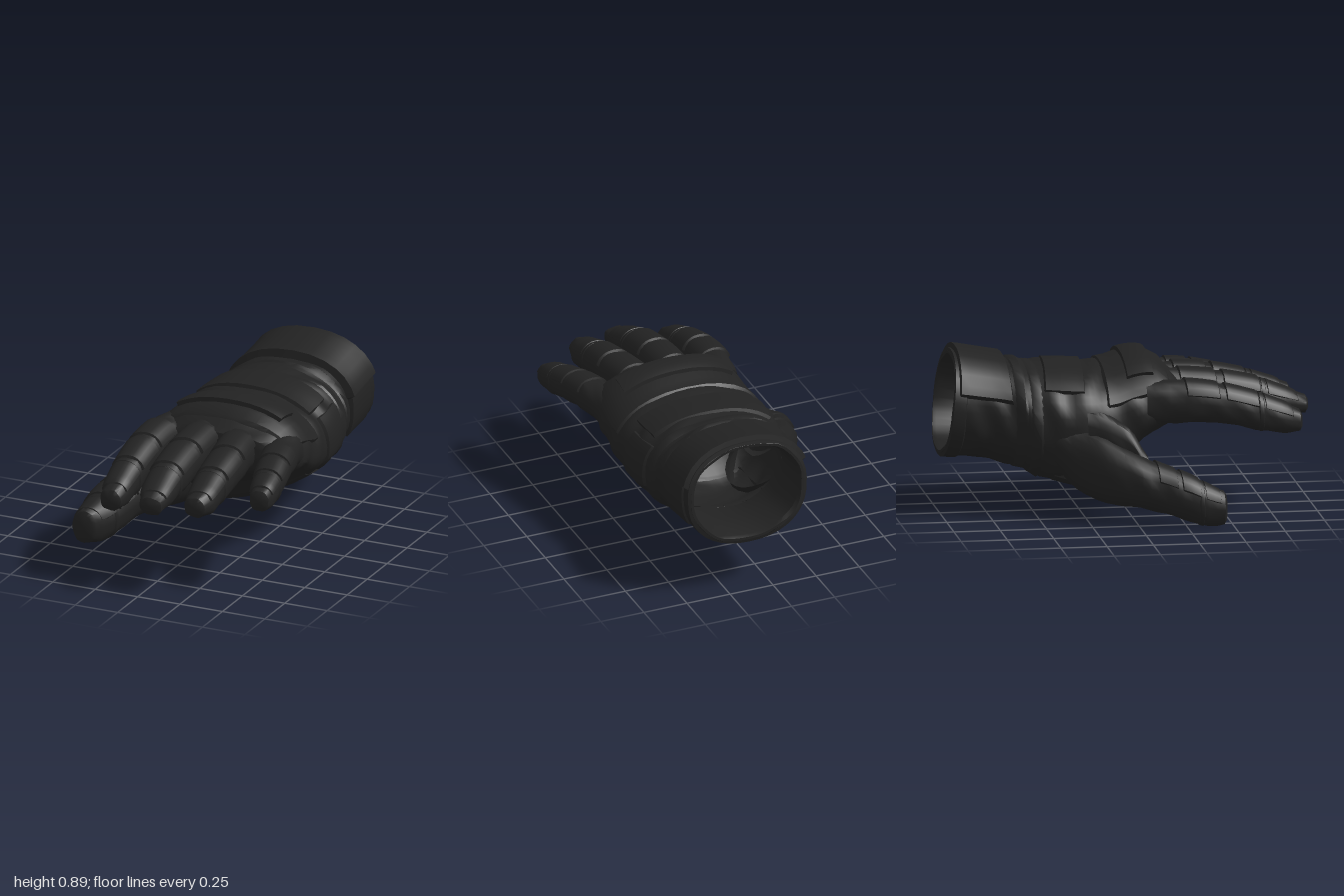
import * as THREE from 'three';
import { toCreasedNormals } from 'three/addons/utils/BufferGeometryUtils.js';

const leather = new THREE.MeshStandardMaterial({ color: 0x222222, side: THREE.DoubleSide });
leather.name = 'black leather';

// A section is [z, centreX, centreY, halfWidth, up, down, tilt of the underside, lean]
function sectionAt(secs, z) {
  let i = 0;
  while (i < secs.length - 2 && z > secs[i + 1][0]) i++;
  const t = THREE.MathUtils.clamp((z - secs[i][0]) / (secs[i + 1][0] - secs[i][0]), 0, 1);
  const a = secs[Math.max(i - 1, 0)], b = secs[i], c = secs[i + 1], d = secs[Math.min(i + 2, secs.length - 1)];
  return b.map((_, k) => {
    const m0 = (c[k] - a[k]) / 2, m1 = (d[k] - b[k]) / 2, t2 = t * t, t3 = t2 * t;
    return (2 * t3 - 3 * t2 + 1) * b[k] + (t3 - 2 * t2 + t) * m0 + (3 * t2 - 2 * t3) * c[k] + (t3 - t2) * m1;
  });
}

// Point on the skin: u runs round the section (0 = +x, 0.25 = top), flatter below
function skinPoint(secs, u, z, off) {
  const [, cx, cy, rx, up, down, tilt, lean] = sectionAt(secs, z);
  const c = Math.cos(u * Math.PI * 2), s = Math.sin(u * Math.PI * 2);
  const pw = (v, e) => Math.sign(v) * Math.abs(v) ** e;
  const dx = Math.max(rx + off, 0) * pw(c, 0.9);
  const h = Math.max((s > 0 ? up : down) + off, 0);
  return [cx + dx, cy + h * pw(s, s > 0 ? 0.9 : 0.82) + tilt * dx * Math.max(-s, 0), z + lean * s];
}

function gridMesh(name, rows) {
  const n = rows[0].length, index = [];
  for (let i = 0; i < rows.length - 1; i++) {
    for (let j = 0; j < n - 1; j++) {
      const a = i * n + j;
      index.push(a, a + 1, a + n + 1, a, a + n + 1, a + n);
    }
  }
  const geo = new THREE.BufferGeometry();
  geo.setAttribute('position', new THREE.Float32BufferAttribute(rows.flat(2), 3));
  geo.setIndex(index);
  const mesh = new THREE.Mesh(toCreasedNormals(geo, 0.6), leather);
  mesh.name = name;
  return mesh;
}

// Tube through a list of [z, offset]; an offset of -1 closes it
function skin(name, secs, rings, sides, wrinkle = 0) {
  return gridMesh(name, rings.map(([z, off]) => Array.from({ length: sides + 1 }, (_, j) => {
    const u = (j % sides) / sides;
    const fold = wrinkle * Math.sin(z * 38 + 2 * Math.sin(u * 19)) * Math.cos(u * 12.566 + z * 5);
    return skinPoint(secs, u, z, off + fold);
  })));
}

// Raised panel with a bevelled border; skew slants its ends
function panel(name, secs, u0, u1, z0, z1, height, skew = 0) {
  const us = [0, 0.02, ...Array.from({ length: 11 }, (_, i) => 0.08 + i * 0.084), 0.98, 1];
  const vs = [0, 0.04, 0.2, 0.4, 0.6, 0.8, 0.96, 1];
  return gridMesh(name, vs.map((v) => us.map((u) => {
    const edge = u === 0 || u === 1 || v === 0 || v === 1;
    return skinPoint(secs, u0 + (u1 - u0) * u, z0 + (z1 - z0) * v + skew * (u - 0.5), edge ? -0.005 : height);
  })));
}

const span = (a, b, n) => Array.from({ length: n + 1 }, (_, i) => [a + (b - a) * i / n, 0]);

export function createModel() {
  const glove = new THREE.Group();
  glove.name = 'glove';

  // Hollow hand and cuff, with a turned-in lining at the opening
  const hand = [
    [-0.96, 0.13, 0.6, 0.335, 0.26, 0.29, 0, 0.035],
    [-0.8, 0.13, 0.58, 0.335, 0.258, 0.285, 0, 0.01],
    [-0.65, 0.125, 0.56, 0.345, 0.253, 0.295, 0.05, 0],
    [-0.5, 0.115, 0.53, 0.39, 0.265, 0.305, 0.16, 0],
    [-0.35, 0.11, 0.51, 0.42, 0.28, 0.315, 0.25, 0],
    [-0.2, 0.11, 0.51, 0.425, 0.27, 0.325, 0.33, 0],
    [-0.08, 0.125, 0.52, 0.42, 0.27, 0.285, 0.35, 0],
    [0.02, 0.135, 0.55, 0.41, 0.27, 0.2, 0.2, 0],
    [0.12, 0.135, 0.58, 0.405, 0.24, 0.16, 0.05, 0],
    [0.22, 0.13, 0.6, 0.39, 0.17, 0.14, 0, 0],
    [0.29, 0.13, 0.6, 0.36, 0.11, 0.09, 0, 0],
  ];
  glove.add(skin('hand', hand, [
    [-0.5, -0.03], [-0.7, -0.03], [-0.94, -0.03], [-0.96, -0.022], [-0.96, -0.008],
    ...span(-0.95, 0.28, 44), [0.29, -0.03], [0.29, -1],
  ], 44, 0.008));

  // Cuff hem, wrist folds and back panels
  glove.add(skin('cuffHem', hand, [[-0.96, -0.01], [-0.955, 0.01], [-0.89, 0.01], [-0.88, -0.01]], 40));
  for (const z of [-0.59, -0.51]) {
    glove.add(skin('wristFold', hand, [[z - 0.045, -0.01], [z - 0.02, 0.005], [z + 0.02, 0.006], [z + 0.05, -0.01]], 36, 0.01));
  }
  glove.add(panel('wristStrap', hand, 0.03, 0.46, -0.945, -0.64, 0.038, 0.02));
  glove.add(panel('strapEnd', hand, -0.08, 0.08, -0.9, -0.66, 0.02));
  glove.add(panel('backPanel', hand, 0.11, 0.4, -0.44, -0.22, 0.015, -0.06));
  glove.add(panel('sidePanel', hand, -0.04, 0.09, -0.46, -0.24, 0.01));
  glove.add(panel('knucklePanel', hand, 0.04, 0.45, -0.14, 0.22, 0.012));
  glove.add(panel('knuckleRidge', hand, 0.13, 0.38, -0.02, 0.13, 0.03));
  glove.add(panel('palmPanel', hand, 0.62, 0.9, -0.42, -0.1, 0.006));

  // Fingers as rows of [z, x, y, halfWidth, halfHeight]
  const fingers = {
    indexFinger: [[0.08, -0.175, 0.61, 0.1, 0.12], [0.3, -0.205, 0.62, 0.1, 0.115], [0.5, -0.212, 0.6, 0.096, 0.105],
      [0.7, -0.21, 0.55, 0.088, 0.1], [0.83, -0.205, 0.515, 0.078, 0.083], [0.91, -0.2, 0.495, 0.06, 0.058]],
    middleFinger: [[0.08, 0.03, 0.63, 0.11, 0.13], [0.3, 0.035, 0.635, 0.103, 0.115], [0.5, 0.035, 0.62, 0.103, 0.11],
      [0.72, 0.04, 0.585, 0.097, 0.1], [0.88, 0.05, 0.55, 0.086, 0.073], [0.98, 0.065, 0.53, 0.065, 0.048]],
    ringFinger: [[0.08, 0.235, 0.62, 0.11, 0.12], [0.3, 0.255, 0.63, 0.103, 0.11], [0.5, 0.28, 0.615, 0.1, 0.105],
      [0.7, 0.29, 0.58, 0.092, 0.097], [0.84, 0.3, 0.55, 0.08, 0.08], [0.92, 0.3, 0.54, 0.06, 0.055]],
    littleFinger: [[0.08, 0.45, 0.61, 0.095, 0.1], [0.25, 0.488, 0.62, 0.093, 0.092], [0.4, 0.523, 0.61, 0.09, 0.088],
      [0.55, 0.553, 0.58, 0.083, 0.085], [0.65, 0.57, 0.56, 0.072, 0.077], [0.71, 0.58, 0.55, 0.057, 0.057]],
    thumb: [[-0.42, -0.13, 0.42, 0.16, 0.14], [-0.3, -0.21, 0.34, 0.165, 0.175], [-0.17, -0.29, 0.29, 0.195, 0.185],
      [0.0, -0.405, 0.24, 0.165, 0.145], [0.12, -0.475, 0.205, 0.125, 0.13], [0.26, -0.52, 0.16, 0.115, 0.125],
      [0.37, -0.55, 0.12, 0.095, 0.113], [0.445, -0.575, 0.11, 0.07, 0.09]],
  };
  for (const [name, path] of Object.entries(fingers)) {
    const secs = path.map(([z, x, y, w, h]) => [z, x, y, w, h, h, 0, 0]);
    const start = path[0][0], tip = path.at(-1)[0];
    const group = new THREE.Group();
    group.name = name;
    group.add(skin(name + 'Skin', secs, [...span(start, tip, 20), [tip + 0.012, -0.02], [tip + 0.016, -1]], 20, 0.004));

    // Back pads between the joints and a seam before the tip
    const first = name === 'thumb' ? 0.08 : 0.27, step = (tip - first) / 3;
    for (let k = 0; k < 3; k++) {
      const z0 = first + k * step;
      group.add(panel('fingerPad', secs, 0.05, 0.45, z0 + 0.012, z0 + step * (k < 2 ? 0.92 : 0.8), k < 2 ? 0.01 : 0.006, 0.015));
    }
    const seam = tip - step;
    group.add(skin('fingerSeam', secs, [[seam - 0.02, -0.008], [seam - 0.01, 0.004], [seam + 0.01, 0.004], [seam + 0.02, -0.008]], 20));
    glove.add(group);
  }

  // Web of leather joining thumb and forefinger
  const web = [
    [-0.25, -0.24, 0.48, 0.1, 0.13, 0.12, 0, 0],
    [-0.12, -0.29, 0.44, 0.1, 0.13, 0.13, 0, 0],
    [-0.02, -0.34, 0.39, 0.085, 0.11, 0.12, 0, 0],
    [0.06, -0.4, 0.31, 0.05, 0.06, 0.08, 0, 0],
  ];
  glove.add(skin('thumbWeb', web, [...span(-0.25, 0.06, 10), [0.06, -1]], 20, 0.005));
  return glove;
}
